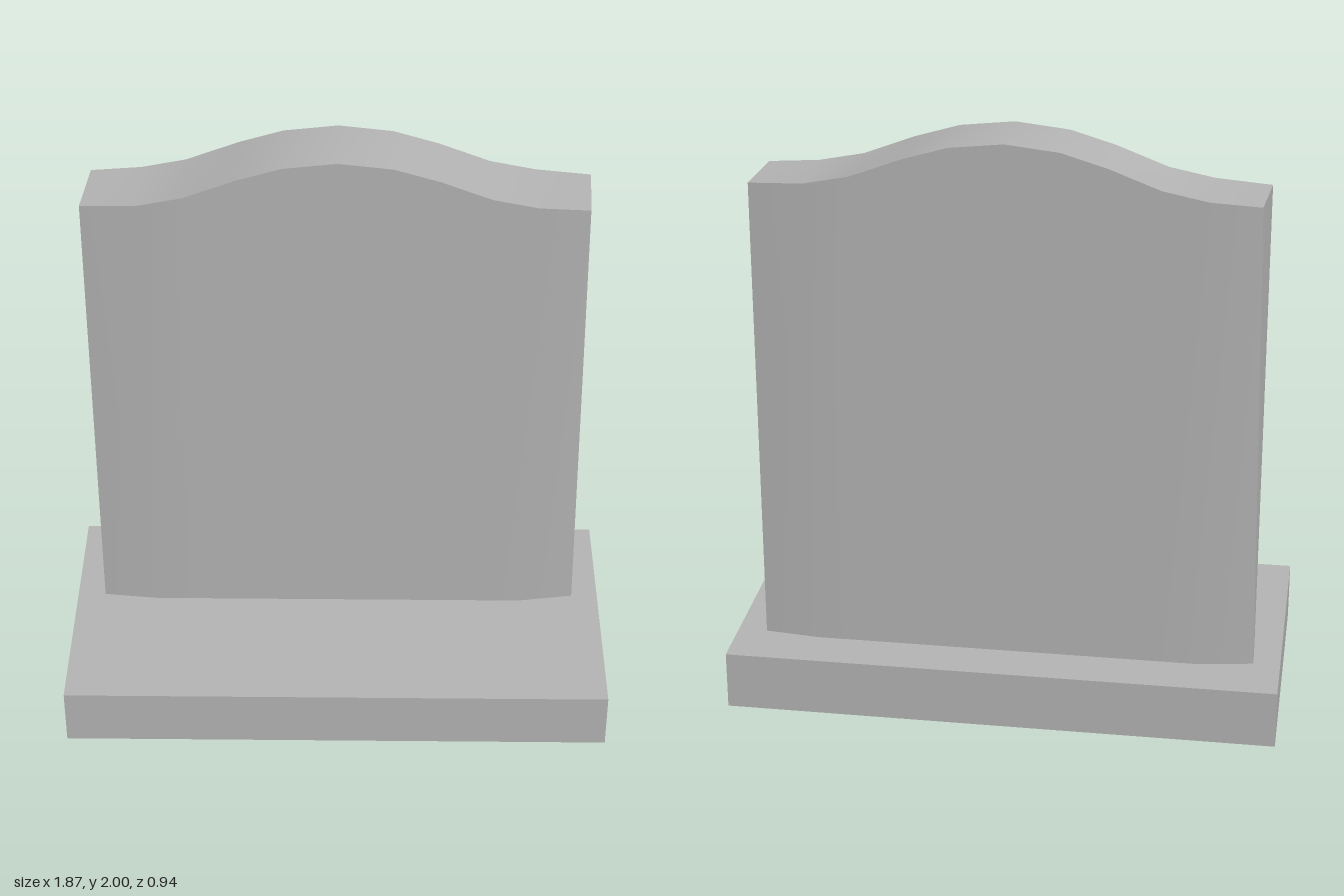
import * as THREE from 'three';

const BASE_TOP = 0.2;

// Surface between two matching rows of points, smooth along its length
function ribbon(lower, upper, material, name) {
  const points = [...lower, ...upper];
  const n = lower.length;
  const index = [];
  for (let i = 0; i < n - 1; i++) {
    index.push(i, i + 1, n + i + 1, i, n + i + 1, n + i);
  }
  const geometry = new THREE.BufferGeometry();
  geometry.setAttribute('position', new THREE.Float32BufferAttribute(points.flat(), 3));
  geometry.setIndex(index);
  geometry.computeVertexNormals();
  const mesh = new THREE.Mesh(geometry, material);
  mesh.name = name;
  return mesh;
}

export function createModel() {
  const stone = new THREE.MeshStandardMaterial({ color: 0xb4b4b4 });
  stone.name = 'grey stone';
  const model = new THREE.Group();
  model.name = 'headstone';

  // Plinth
  const base = new THREE.Mesh(new THREE.BoxGeometry(1.87, BASE_TOP, 0.94), stone);
  base.name = 'base';
  base.position.y = BASE_TOP / 2;
  model.add(base);

  // Curved crest: x and height of each column between the slab ends
  const half = [[0.18, 1.98], [0.33, 1.935], [0.5, 1.87], [0.65, 1.84]];
  const crest = [...half.map(([x, y]) => [-x, y]).reverse(), [0, 2], ...half];

  // Slab edges from left to right in x; the end corners are slightly skewed
  const row = (z, first, last, height) =>
    [first, ...crest.map(([x, y]) => [x, height ?? y, z]), last];
  const frontTop = row(-0.055, [-0.835, 1.83, -0.07], [0.817, 1.83, -0.06]);
  const frontLow = row(-0.055, [-0.838, BASE_TOP, -0.075], [0.843, BASE_TOP, -0.085], BASE_TOP);
  const backTop = row(-0.305, [-0.817, 1.83, -0.3], [0.832, 1.83, -0.29]);
  const backLow = row(-0.305, [-0.845, BASE_TOP, -0.275], [0.836, BASE_TOP, -0.285], BASE_TOP);
  const end = frontTop.length - 1;

  const slab = new THREE.Group();
  slab.name = 'slab';
  slab.add(
    ribbon(frontLow, frontTop, stone, 'slabFront'),
    ribbon(backLow.toReversed(), backTop.toReversed(), stone, 'slabBack'),
    ribbon(frontTop, backTop, stone, 'slabCrest'),
    ribbon([frontLow[end], backLow[end]], [frontTop[end], backTop[end]], stone, 'slabLeftEnd'),
    ribbon([backLow[0], frontLow[0]], [backTop[0], frontTop[0]], stone, 'slabRightEnd'),
  );
  model.add(slab);
  return model;
}
